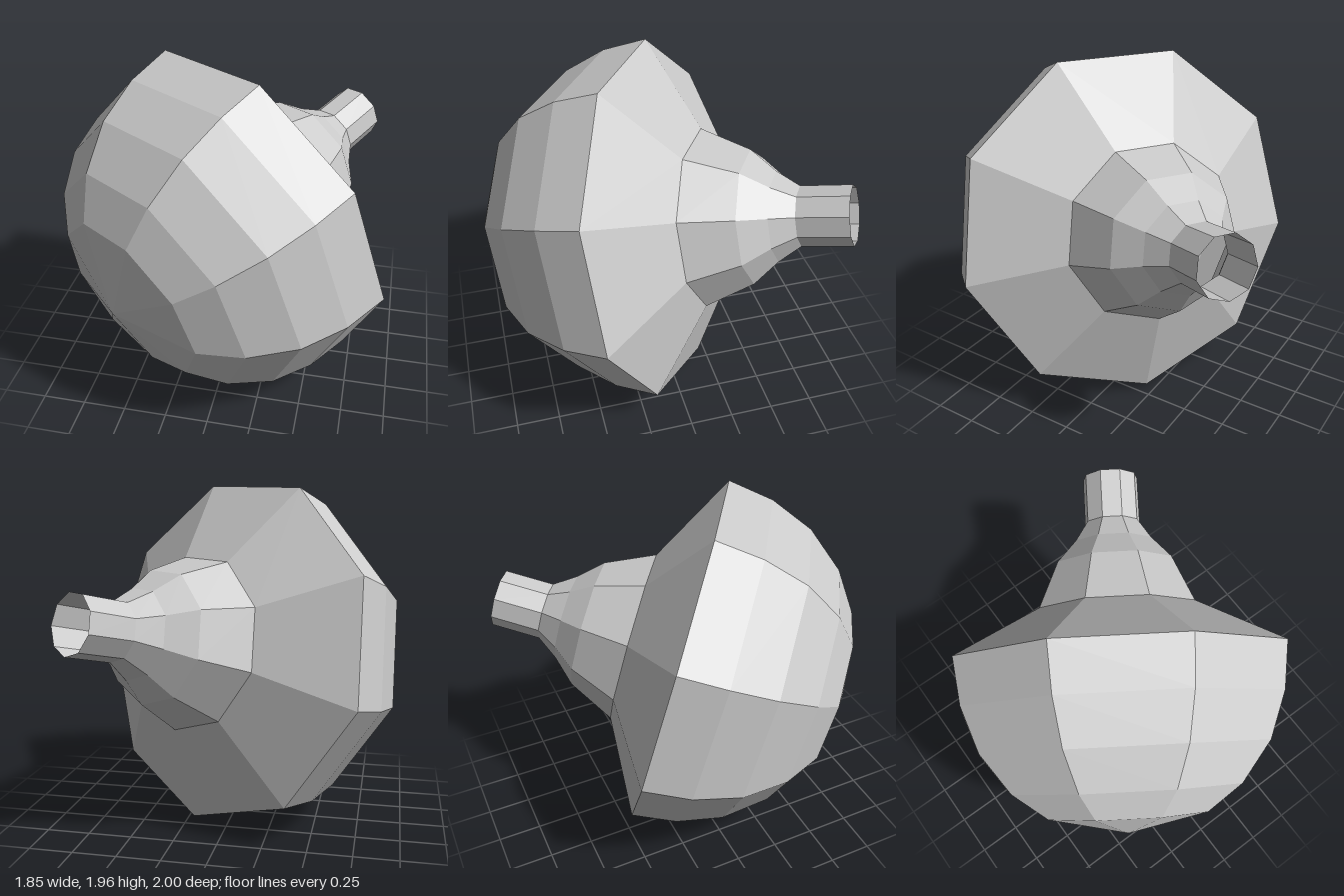
import * as THREE from 'three';

const SIDES = 9;

// Profiles as [radius, distance along the axis], from dome tip to stem end
const PROFILES = {
  dome: [[0, -1.015], [0.505, -0.895], [0.715, -0.745], [0.89, -0.52], [0.986, -0.264], [1.02, 0]],
  backCone: [[1.02, 0], [0.505, 0.28]],
  neck: [[0.505, 0.28], [0.376, 0.555], [0.252, 0.69], [0.167, 0.815]],
  stem: [[0.167, 0.815], [0.166, 1.097]],
};

export function createModel() {
  const model = new THREE.Group();
  const material = new THREE.MeshStandardMaterial({
    color: 0xcccccc, flatShading: true, side: THREE.DoubleSide,
  });

  // All parts are turned around one tilted axis
  const body = new THREE.Group();
  body.name = 'tiltedBody';
  for (const [name, profile] of Object.entries(PROFILES)) {
    const points = profile.map(([r, t]) => new THREE.Vector2(r, t));
    const mesh = new THREE.Mesh(new THREE.LatheGeometry(points, SIDES), material);
    mesh.name = name;
    body.add(mesh);
  }

  // Axis towards the stem, and the direction of the first rim corner
  const axis = new THREE.Vector3(0.533, 0.2425, -0.811).normalize();
  const corner = new THREE.Vector3(0.849, -0.154, 0.51).projectOnPlane(axis).normalize();
  const across = new THREE.Vector3().crossVectors(axis, corner);
  body.quaternion.setFromRotationMatrix(new THREE.Matrix4().makeBasis(across, axis, corner));
  body.position.set(0.054, 1.027, -0.01);

  model.add(body);
  return model;
}
